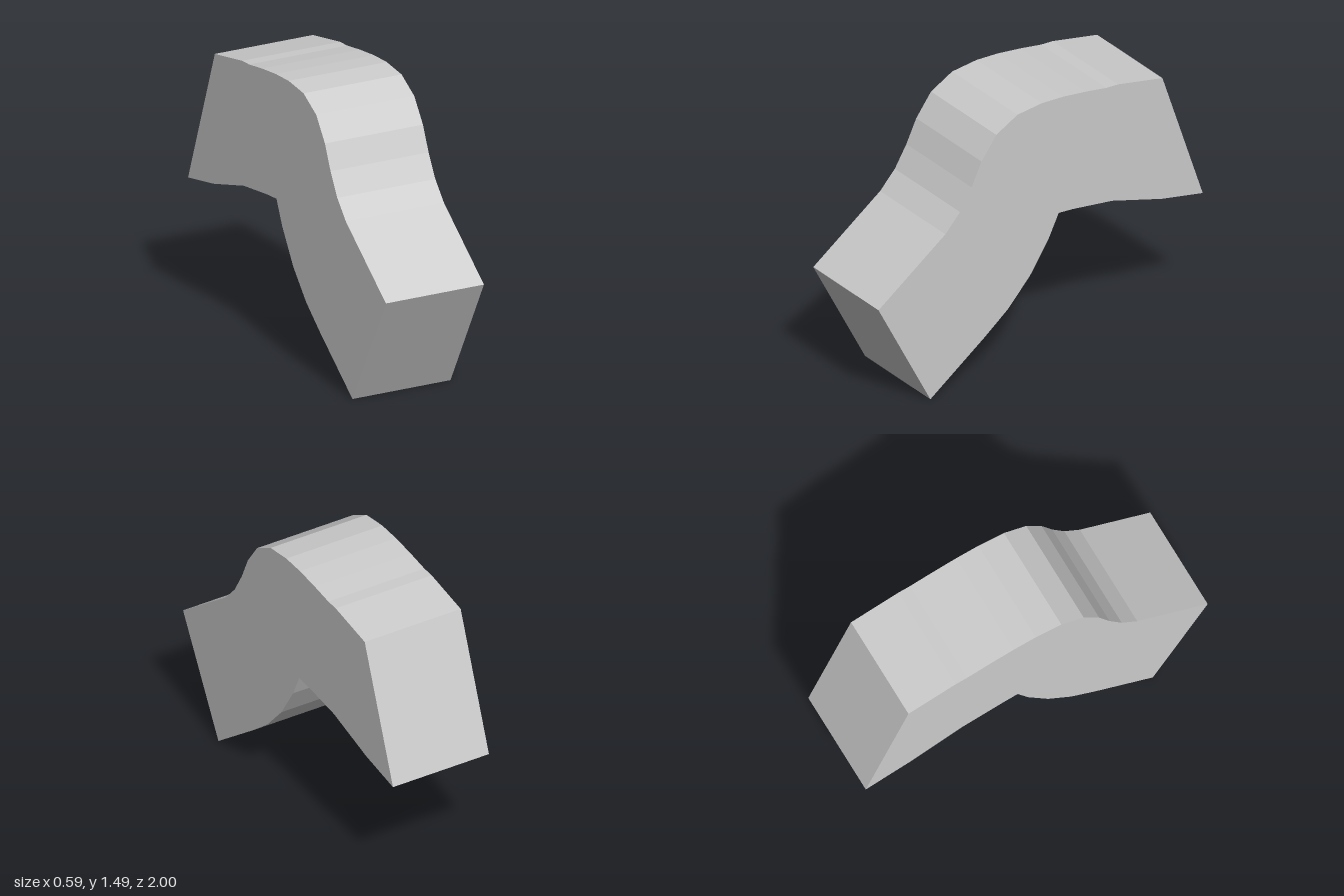
import * as THREE from 'three';

const WIDTH = 0.57;

// Side outline as [z, y]
const upperEdge = [
  [1, 0.61], [0.59, 0.92], [0.5, 1.02], [0.43, 1.14], [0.37, 1.27], [0.28, 1.395],
  [0.15, 1.47], [0, 1.49], [-0.13, 1.487], [-0.27, 1.473], [-0.4, 1.455],
  [-0.47, 1.453], [-0.745, 1.405],
];
const lowerEdge = [
  [-1, 0.667], [-0.745, 0.712], [-0.44, 0.795], [-0.2, 0.822], [-0.11, 0.827],
  [-0.05, 0.7], [0.065, 0.52], [0.2, 0.37], [0.34, 0.255], [0.675, 0],
];

export function createModel() {
  const group = new THREE.Group();
  group.name = 'bentBlock';

  // Extrude the outline across the width, then turn it to run along z
  const outline = [...upperEdge, ...lowerEdge].map(([z, y]) => new THREE.Vector2(z, y));
  const geometry = new THREE.ExtrudeGeometry(new THREE.Shape(outline), {
    depth: WIDTH, bevelEnabled: false,
  });
  geometry.translate(0, 0, -WIDTH / 2);
  geometry.rotateY(-Math.PI / 2);

  // Slight sideways lean
  const pos = geometry.attributes.position;
  for (let i = 0; i < pos.count; i++) {
    pos.setX(i, pos.getX(i) + 0.012 * (pos.getY(i) - 1));
  }
  geometry.computeVertexNormals();

  const body = new THREE.Mesh(
    geometry,
    new THREE.MeshStandardMaterial({ color: 0xcccccc, flatShading: true }),
  );
  body.name = 'bentBody';
  group.add(body);
  return group;
}
